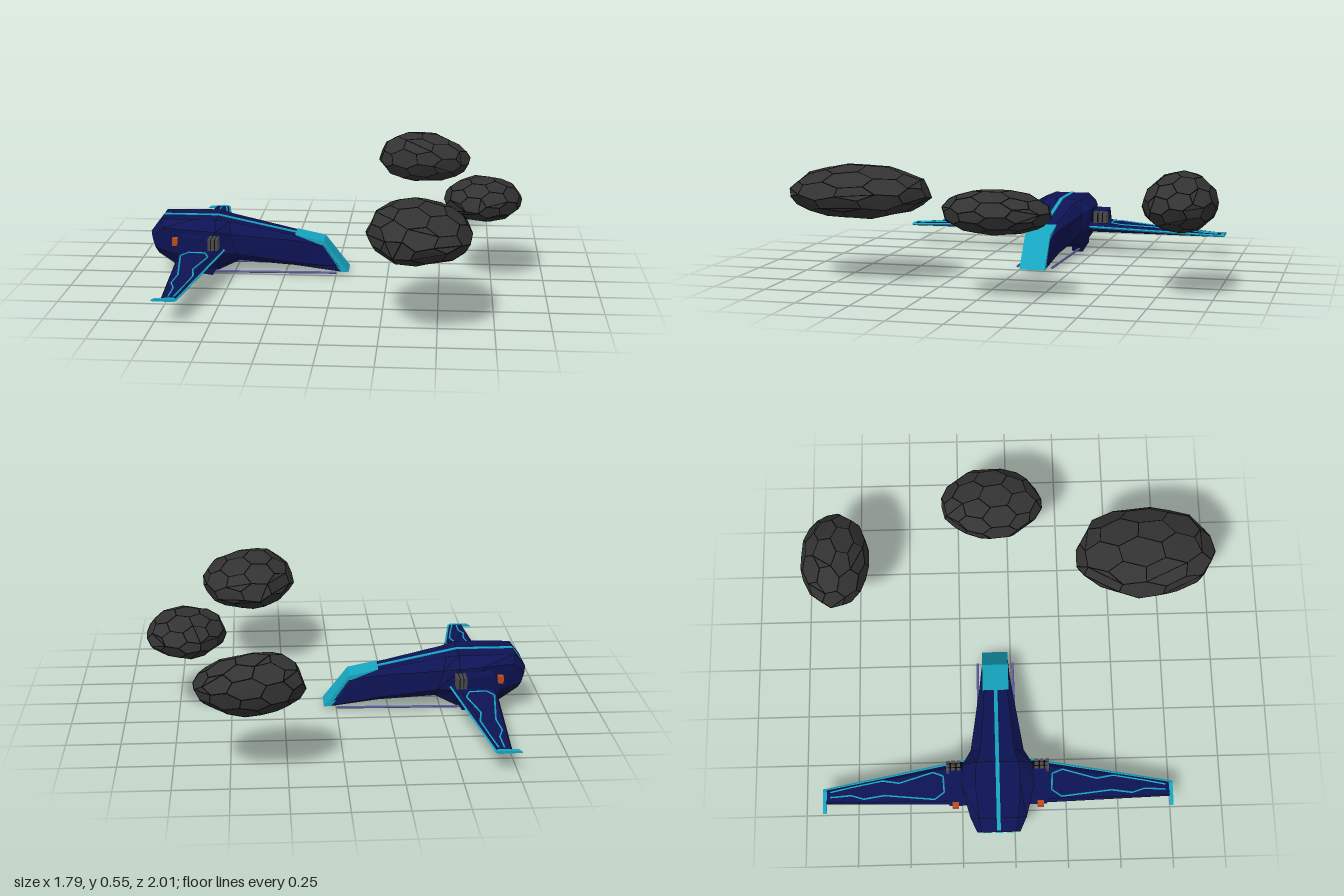
import * as THREE from 'three';
import { mergeGeometries } from 'three/addons/utils/BufferGeometryUtils.js';
import { ConvexGeometry } from 'three/addons/geometries/ConvexGeometry.js';

const mat = (color) => new THREE.MeshStandardMaterial({ color, flatShading: true });
const navy = mat(0x0d1355), cyan = mat(0x17a6c2), rock = mat(0x333333), black = mat(0x050505);
const lavender = mat(0x5b5a9a), grey = mat(0x4a4848), orange = mat(0xc04a1c);

const V = (x, y, z) => new THREE.Vector3(x, y, z);

function add(parent, name, geometry, material) {
  const mesh = new THREE.Mesh(geometry, material);
  mesh.name = name;
  parent.add(mesh);
  return mesh;
}

function box(parent, name, size, pos, material) {
  const mesh = add(parent, name, new THREE.BoxGeometry(...size), material);
  mesh.position.set(...pos);
  return mesh;
}

// Thin straight bar between two points
function bar(a, b, radius, sides = 4) {
  const d = b.clone().sub(a);
  const g = new THREE.CylinderGeometry(radius, radius, d.length(), sides);
  g.applyQuaternion(new THREE.Quaternion().setFromUnitVectors(V(0, 1, 0), d.normalize()));
  return g.translate(...a.clone().add(b).multiplyScalar(0.5).toArray());
}

const polyBars = (pts, radius) =>
  mergeGeometries(pts.slice(1).map((p, i) => bar(pts[i], p, radius)));

// Dark bars along the creases of a geometry
function outline(geometry, radius, angle) {
  const p = new THREE.EdgesGeometry(geometry, angle).attributes.position;
  const bars = [];
  for (let i = 0; i < p.count; i += 2) {
    bars.push(bar(new THREE.Vector3().fromBufferAttribute(p, i),
      new THREE.Vector3().fromBufferAttribute(p, i + 1), radius, 3));
  }
  return mergeGeometries(bars);
}

// Skin over rings of points that run counter-clockwise about the path, ends closed
function loft(rings) {
  const n = rings[0].length, last = (rings.length - 1) * n, index = [];
  for (let i = 0; i < rings.length - 1; i++) {
    for (let j = 0; j < n; j++) {
      const a = i * n + j, b = i * n + (j + 1) % n;
      index.push(a, b, a + n, b, b + n, a + n);
    }
  }
  for (let j = 1; j < n - 1; j++) index.push(0, j + 1, j, last, last + j, last + j + 1);
  const g = new THREE.BufferGeometry().setFromPoints(rings.flat());
  g.setIndex(index);
  g.computeVertexNormals();
  return g;
}

// Side profile (x, y) given a width along z
function slab(points, width, z = 0) {
  const shape = new THREE.Shape(points.map(([x, y]) => new THREE.Vector2(x, y)));
  return new THREE.ExtrudeGeometry(shape, { depth: width, bevelEnabled: false }).translate(0, 0, z - width / 2);
}

function addHull(ship) {
  // x at top, x at bottom, half widths (top, side, bottom), heights (top, shoulder, low, bottom)
  const sections = [
    [-0.90, -0.87, 0.080, 0.100, 0.07, 0.215, 0.190, 0.14, 0.105],
    [-0.85, -0.77, 0.090, 0.130, 0.09, 0.280, 0.245, 0.12, 0.045],
    [-0.69, -0.66, 0.105, 0.170, 0.11, 0.280, 0.245, 0.13, 0.040],
    [-0.58, -0.57, 0.100, 0.165, 0.11, 0.280, 0.235, 0.13, 0.035],
    [-0.52, -0.47, 0.080, 0.125, 0.09, 0.267, 0.215, 0.12, 0.080],
    [-0.20, -0.20, 0.055, 0.080, 0.06, 0.200, 0.180, 0.07, 0.052],
    [-0.07, 0.03, 0.050, 0.062, 0.06, 0.168, 0.150, 0.05, 0.022],
  ];
  const hull = loft(sections.map(([xt, xb, tw, w, bw, T, S, L, B]) => {
    const half = [[T, tw], [S, w], [L, w], [B, bw]];
    const both = [...half, ...half.map(([y, z]) => [y, -z]).reverse()];
    return both.map(([y, z]) => V(xb + (xt - xb) * (y - B) / (T - B), y, z));
  }));
  add(ship, 'hull', hull, navy);
  add(ship, 'hullSeams', outline(hull, 0.0015, 10), black);

  // Wedge over the nose
  add(ship, 'noseCap', slab([[-0.2, 0.204], [-0.1, 0.165], [0.025, 0.022], [0.06, 0.02], [-0.06, 0.174]], 0.125), cyan);

  // Stripe along the spine
  const spine = [[-0.895, 0.222], [-0.85, 0.281], [-0.58, 0.281], [-0.19, 0.2]];
  add(ship, 'spineStripe', slab([...spine.map(([x, y]) => [x, y - 0.01]),
    ...spine.map(([x, y]) => [x, y + 0.003]).reverse()], 0.018), cyan);

  // Glowing panels on the sloped tail
  for (const z of [-0.055, 0, 0.055]) {
    box(ship, 'enginePanel', [0.008, 0.09, 0.035], [-0.886, 0.16, z], cyan).rotation.z = 0.28;
  }
}

function addSide(ship, s) {
  const side = new THREE.Group();
  side.name = s > 0 ? 'frontSide' : 'backSide';
  ship.add(side);

  // Belly keel and long gun barrel
  add(side, 'keel', slab([[-0.77, 0.07], [-0.76, 0.03], [-0.6, 0.005], [-0.585, 0.03], [-0.5, 0.085], [-0.6, 0.12]],
    0.055, s * 0.083), navy);
  add(side, 'gunBarrel', bar(V(-0.6, 0.02, s * 0.093), V(0, 0.024, s * 0.086), 0.006, 6), lavender);

  // Pod at the wing root with a vent in front and a lamp behind
  add(side, 'wingPod', slab([[-0.76, 0.17], [-0.74, 0.12], [-0.56, 0.13], [-0.6, 0.22], [-0.73, 0.225]],
    0.1, s * 0.18), navy);
  box(side, 'ventCore', [0.035, 0.045, 0.07], [-0.577, 0.193, s * 0.2], black);
  for (const i of [-1, 0, 1]) {
    for (const j of [-1, 0, 1]) {
      box(side, 'ventFin', [0.013, 0.055, 0.018], [-0.577 + i * 0.018, 0.193, s * (0.21 + j * 0.025)], grey);
    }
  }
  box(side, 'lamp', [0.025, 0.035, 0.03], [-0.765, 0.197, s * 0.2], orange);

  // Wing from root to tip: z, leading x, trailing x, mid height, thickness
  const stations = [[0.1, -0.525, -0.75, 0.146, 0.05], [0.82, -0.65, -0.72, 0.107, 0.012]];
  const rings = stations.map(([z, l, t, y, h]) => {
    const c = l - t;
    const ring = [V(l, y, s * z), V(l - c * 0.12, y + h / 2, s * z), V(t + c * 0.06, y + h / 2, s * z),
      V(t, y, s * z), V(t + c * 0.06, y - h / 2, s * z), V(l - c * 0.12, y - h / 2, s * z)];
    return s > 0 ? ring : ring.reverse();
  });
  const wing = loft(rings);
  add(side, 'wing', wing, navy);
  add(side, 'wingSeams', outline(wing, 0.0015, 10), black);
  add(side, 'leadingEdge', bar(V(-0.535, 0.146, s * 0.16), V(-0.65, 0.107, s * 0.82), 0.006), cyan);

  // Flared tip
  add(side, 'wingTip', slab([[-0.765, 0.102], [-0.66, 0.1], [-0.645, 0.107], [-0.66, 0.115], [-0.75, 0.112]],
    0.018, s * 0.826), cyan);

  // Bright traced line on the upper skin
  const topY = (z) => {
    const k = (z - 0.1) / 0.72;
    return 0.171 + (0.113 - 0.171) * k + 0.001;
  };
  const trace = [[-0.665, 0.8], [-0.645, 0.7], [-0.62, 0.55], [-0.635, 0.47], [-0.59, 0.31], [-0.61, 0.26],
    [-0.69, 0.255], [-0.722, 0.3], [-0.692, 0.54], [-0.705, 0.64], [-0.685, 0.7], [-0.69, 0.8]];
  add(side, 'wingTrace', polyBars(trace.map(([x, z]) => V(x, topY(z), s * z)), 0.004), cyan);
}

// Faceted boulder fitted to a box given by its low and high corners
function addAsteroid(parent, lo, hi, lean, phase) {
  const p = new THREE.IcosahedronGeometry(1, 1).attributes.position;
  const pts = [];
  for (let i = 0; i < p.count; i += 3) {
    const c = V(0, 0, 0);
    for (let k = 0; k < 3; k++) c.add(new THREE.Vector3().fromBufferAttribute(p, i + k));
    c.normalize().applyEuler(new THREE.Euler(phase, phase * 2, phase * 0.5));
    c.multiplyScalar(1 + 0.035 * Math.sin(5 * c.x + phase) * Math.cos(4 * c.z + phase));
    if (c.y > 0) c.y *= 1.15 + lean[0] * c.x + lean[1] * c.z;
    pts.push(c);
  }
  const bounds = new THREE.Box3().setFromPoints(pts), size = bounds.getSize(V(0, 0, 0));
  const low = V(...lo), range = V(...hi).sub(low);
  for (const c of pts) c.sub(bounds.min).divide(size).multiply(range).add(low);
  const geometry = new ConvexGeometry(pts);
  const asteroid = new THREE.Group();
  asteroid.name = 'asteroid';
  add(asteroid, 'asteroidRock', geometry, rock);
  add(asteroid, 'asteroidEdges', outline(geometry, 0.003, 6), black);
  parent.add(asteroid);
}

export function createModel() {
  const model = new THREE.Group();
  model.name = 'shipAndAsteroids';

  const ship = new THREE.Group();
  ship.name = 'ship';
  ship.position.z = -0.077;
  addHull(ship);
  for (const s of [1, -1]) addSide(ship, s);
  model.add(ship);

  addAsteroid(model, [0.18, 0.30, 0.33], [0.645, 0.545, 1.0], [-0.2, 0], 0.4);
  addAsteroid(model, [0.17, 0.29, -1.0], [0.65, 0.55, -0.675], [-0.25, 0], 1.3);
  addAsteroid(model, [0.52, 0.30, -0.32], [0.89, 0.485, 0.17], [0, 0.1], 2.2);
  return model;
}
